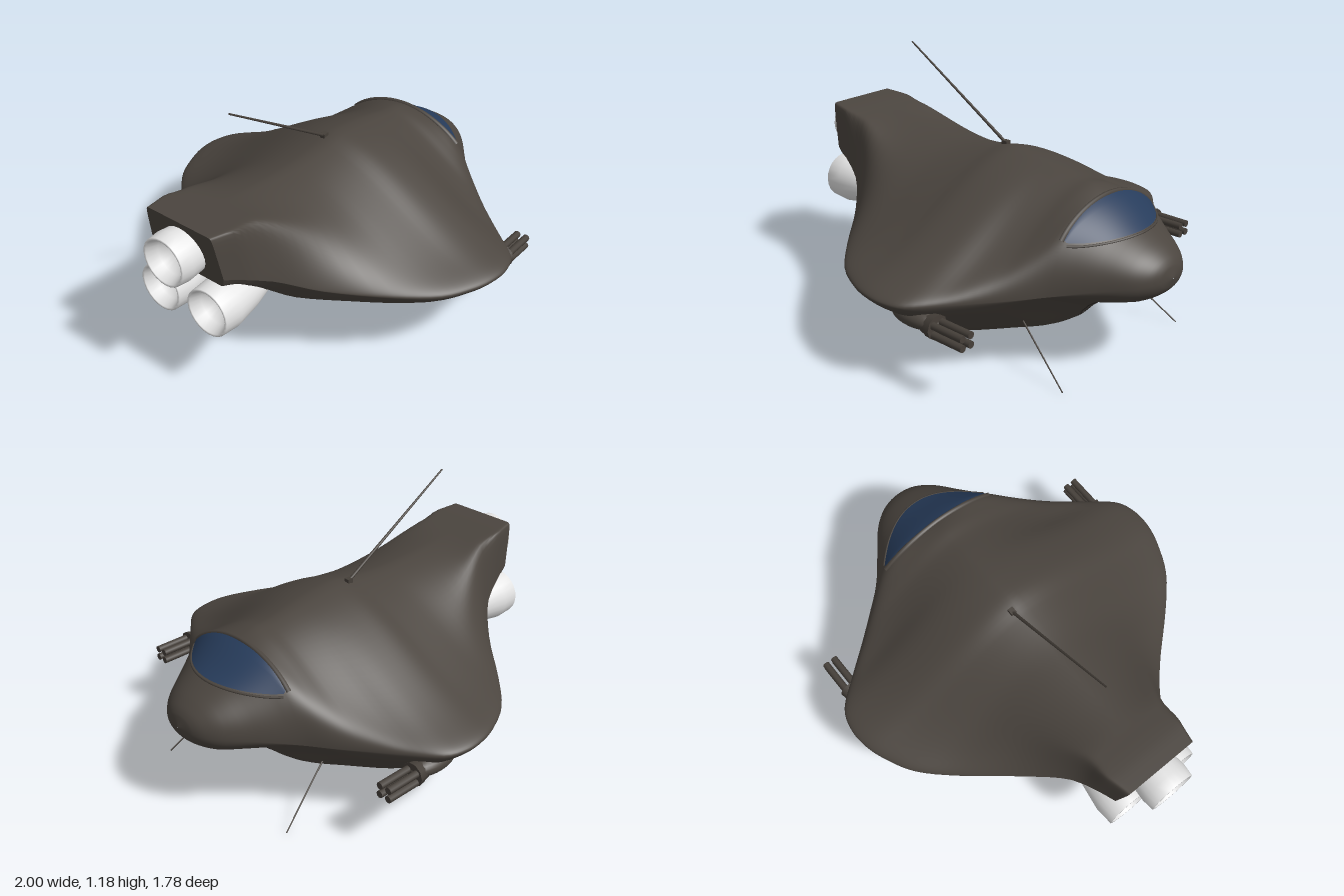
import * as THREE from 'three';

const { clamp, lerp } = THREE.MathUtils;

// Hull stations from tail to nose: x, half width, edge height, top, bottom, body blend
const STATIONS = [
  [-0.905, 0.2, 0.64, 0.855, 0.595, 1], [-0.8, 0.225, 0.6, 0.845, 0.565, 1],
  [-0.66, 0.272, 0.545, 0.822, 0.475, 1], [-0.5, 0.415, 0.465, 0.802, 0.34, 0.8],
  [-0.3, 0.638, 0.42, 0.788, 0.222, 0.4], [-0.15, 0.78, 0.4, 0.786, 0.154, 0.12],
  [0, 0.857, 0.395, 0.8, 0.117, 0], [0.1, 0.885, 0.395, 0.818, 0.1, 0],
  [0.2, 0.887, 0.392, 0.812, 0.086, 0], [0.3, 0.85, 0.39, 0.798, 0.078, 0],
  [0.4, 0.732, 0.39, 0.78, 0.075, 0.05], [0.5, 0.602, 0.39, 0.76, 0.086, 0.3],
  [0.58, 0.5, 0.39, 0.754, 0.16, 0.6], [0.67, 0.387, 0.395, 0.718, 0.235, 1],
  [0.8, 0.278, 0.42, 0.637, 0.293, 1], [0.9, 0.2, 0.435, 0.58, 0.335, 1],
  [0.95, 0.147, 0.44, 0.545, 0.363, 1], [0.985, 0.082, 0.448, 0.505, 0.4, 1],
  [1, 0.002, 0.45, 0.452, 0.448, 1],
];

// Smooth (Hermite) interpolation of the stations
function station(x) {
  const n = STATIONS.length;
  let i = 0;
  while (i < n - 2 && x > STATIONS[i + 1][0]) i++;
  const p = STATIONS[i], q = STATIONS[i + 1], h = q[0] - p[0], t = (x - p[0]) / h;
  const slope = (k, c) => {
    const a = STATIONS[Math.max(k - 1, 0)], b = STATIONS[Math.min(k + 1, n - 1)];
    return (b[c] - a[c]) / (b[0] - a[0]);
  };
  const [w, e, top, bottom, m] = [1, 2, 3, 4, 5].map((c) =>
    (2 * t ** 3 - 3 * t * t + 1) * p[c] + (t ** 3 - 2 * t * t + t) * h * slope(i, c) +
    (3 * t * t - 2 * t ** 3) * q[c] + (t ** 3 - t * t) * h * slope(i + 1, c));
  return { w, e, top, bottom, m: clamp(m, 0, 1) };
}

// Flat up to u = c, then a straight slope to zero at u = 1, with a softened corner
function shoulder(u, c, sharpness) {
  const r = (1 - u) / (1 - c);
  return r / Math.pow(1 + r ** sharpness, 1 / sharpness);
}

// Height of the hull skin: flared wing blended with a boxy tail or a rounded nose
function skinY(x, z, upper) {
  const s = station(x), span = Math.abs((upper ? s.top : s.bottom) - s.e);
  const u = Math.min(Math.abs(z) / s.w, 1);
  const wing = upper
    ? 0.35 * (1 + Math.cos(Math.PI * u)) + 0.3 * (1 - u)
    : shoulder(u, clamp(0.5 - (x - 0.3), 0.2, 0.5), 5) * (1 - 0.1 * u);
  const body = x < 0
    ? shoulder(u, clamp(0.16 - 0.97 * x, 0.35, 0.92), 6)
    : Math.pow(1 - u ** 2.1, 1 / 2.1);
  const m = upper || x < 0 ? s.m : s.m * clamp((x - 0.65) / 0.25, 0, 1);
  // rounded rim along the wing edge
  const rim = (0.038 * (1 - s.m)) / span;
  const f = rim * Math.sqrt(1 - u ** 10) + (1 - rim) * lerp(wing, body, m);
  return s.e + (upper ? span : -span) * f;
}

function gridGeometry(points, cols, wrap, cap) {
  const pos = points.flat(), index = [], rows = points.length / cols;
  for (let i = 0; i < rows - 1; i++) {
    for (let j = 0; j < (wrap ? cols : cols - 1); j++) {
      const k = (j + 1) % cols, a = i * cols + j, b = i * cols + k;
      index.push(a, a + cols, b, b, a + cols, b + cols);
    }
  }
  if (cap) {
    // flat face over the first ring, with its own corners
    const start = pos.length / 3, ring = points.slice(0, cols);
    pos.push(...ring.flat(), -0.882, 0.73, 0);
    for (let j = 0; j < cols; j++) index.push(start + cols, start + j, start + (j + 1) % cols);
  }
  const g = new THREE.BufferGeometry();
  g.setAttribute('position', new THREE.Float32BufferAttribute(pos, 3));
  g.setIndex(index);
  g.computeVertexNormals();
  return g;
}

function hullGeometry() {
  const xs = [], points = [], cols = 128;
  for (let i = 0; i < STATIONS.length - 1; i++) {
    for (let k = 0; k < 4; k++) xs.push(lerp(STATIONS[i][0], STATIONS[i + 1][0], k / 4));
  }
  xs.push(1);
  for (const x of xs) {
    const { w } = station(x);
    for (let j = 0; j < cols; j++) {
      const a = (j / cols) * Math.PI * 2, z = w * Math.cos(a), y = skinY(x, z, Math.sin(a) >= 0);
      // the tail face leans forward toward its lower edge
      const lean = 0.18 * (0.855 - y) * clamp((-0.7 - x) / 0.2, 0, 1);
      points.push([x + lean, y, z]);
    }
  }
  return gridGeometry(points, cols, true, true);
}

export function createModel() {
  const model = new THREE.Group();
  model.name = 'spacecraft';
  const material = (name, color, side = THREE.FrontSide) => {
    const m = new THREE.MeshStandardMaterial({ color, side });
    m.name = name;
    return m;
  };
  const hullPaint = material('hull brown grey', 0x4b453f);
  const gunMetal = material('gun metal', 0x453f39);
  const seam = material('dark seam', 0x2c2825);
  const glass = material('blue glass', 0x273c5b, THREE.DoubleSide);
  const nozzle = material('nozzle white', 0xe4e4e4, THREE.DoubleSide);

  const add = (name, geometry, mat, parent = model) => {
    const mesh = new THREE.Mesh(geometry, mat);
    mesh.name = name;
    parent.add(mesh);
    return mesh;
  };
  // tapered rod between two points
  const rod = (name, from, to, r0, r1, mat, parent) => {
    const a = new THREE.Vector3(...from), b = new THREE.Vector3(...to), d = b.clone().sub(a);
    const mesh = add(name, new THREE.CylinderGeometry(r1, r0, d.length(), 10), mat, parent);
    mesh.position.copy(a).addScaledVector(d, 0.5);
    mesh.quaternion.setFromUnitVectors(new THREE.Vector3(0, 1, 0), d.normalize());
  };
  const tube = (name, pts, r, mat) => add(name, new THREE.TubeGeometry(
    new THREE.CatmullRomCurve3(pts.map((p) => new THREE.Vector3(...p))), 60, r, 6), mat);

  add('hull', hullGeometry(), hullPaint);

  // Windshield laid just above the skin, straight at the back and bowed in front
  const panes = [], acrossN = 40, alongN = 10;
  const backX = (v) => 0.66 + 0.005 * v ** 4;
  const frontX = (v) => 0.675 + 0.165 * (1 - v * v);
  for (let i = 0; i <= alongN; i++) {
    for (let j = 0; j <= acrossN; j++) {
      const v = 1 - (2 * j) / acrossN, z = 0.3 * v;
      const x = lerp(backX(v), frontX(v), i / alongN);
      panes.push([x, skinY(x, z, true) + 0.006, z]);
    }
  }
  add('windshield', gridGeometry(panes, acrossN + 1, false, false), glass);

  // Brow over the windshield and sill under it
  const arc = (xAt, half) => Array.from({ length: 25 }, (_, j) => {
    const v = 1 - j / 12, z = half * v, x = xAt(v);
    return [x, skinY(x, z, true), z];
  });
  tube('windshieldBrow', arc((v) => backX(v) - 0.011, 0.308), 0.012, hullPaint);
  tube('windshieldSill', arc((v) => frontX(v) + 0.004, 0.303), 0.006, hullPaint);

  // Boarding hatch outline on the chin, stepped toward its lower end
  const half = [[0.84, 0.09], [0.62, 0.068], [0.6, 0.05], [0.565, 0.045], [0.56, 0.025], [0.535, 0.022]];
  const outline = [...half, ...half.map(([x, z]) => [x, -z]).reverse()];
  const hatch = new THREE.Group();
  hatch.name = 'hatchOutline';
  model.add(hatch);
  outline.forEach(([x, z], i) => {
    const [x2, z2] = outline[(i + 1) % outline.length];
    const at = (t) => {
      const px = lerp(x, x2, t), pz = lerp(z, z2, t);
      return [px, skinY(px, pz, false), pz];
    };
    for (let k = 0; k < 4; k++) rod('hatchSeam', at(k / 4), at((k + 1) / 4), 0.0025, 0.0025, seam, hatch);
  });

  // Engine nozzles: hollow bells opening to the rear
  const engine = (name, x, y, z, length, r0, r1) => {
    const profile = [[r0, 0], [r0 + (r1 - r0) * 0.65, length * 0.4], [r1, length * 0.75], [r1 * 0.95, length],
      [r1 * 0.85, length], [r1 * 0.7, length - 0.05], [r1 * 0.45, length - 0.1], [0, length - 0.11]];
    const g = new THREE.LatheGeometry(profile.map(([r, h]) => new THREE.Vector2(r, h)), 24);
    add(name, g.rotateZ(Math.PI / 2), nozzle).position.set(x, y, z);
  };
  engine('upperEngine', -0.78, 0.71, 0, 0.22, 0.1, 0.118);
  engine('leftEngine', -0.56, 0.465, -0.135, 0.35, 0.06, 0.118);
  engine('rightEngine', -0.56, 0.465, 0.135, 0.35, 0.06, 0.118);

  // Wing guns and chin aerials
  for (const s of [1, -1]) {
    const gun = new THREE.Group();
    gun.name = s > 0 ? 'frontGun' : 'backGun';
    gun.position.set(0, 0.3, s * 0.762);
    model.add(gun);
    const pod = add('gunPod', new THREE.SphereGeometry(1, 24, 16), hullPaint, gun);
    pod.scale.set(0.13, 0.045, 0.06);
    pod.position.set(0.27, 0.015, 0);
    rod('gunHub', [0.33, 0.005, 0], [0.395, 0.005, 0], 0.042, 0.055, gunMetal, gun);
    for (const dy of [-0.021, 0.021]) {
      for (const dz of [-0.0235, 0.0235]) {
        rod('gunBarrel', [0.36, dy, dz], [0.56, dy, dz], 0.0165, 0.0165, gunMetal, gun);
      }
    }
    rod('chinAerial', [0.49, 0.22, s * 0.345 + 0.01], [0.775, 0.008, s * 0.415 + 0.01], 0.004, 0.003, gunMetal);
    add('aerialFoot', new THREE.SphereGeometry(0.011, 10, 8), gunMetal)
      .position.set(0.49, 0.22, s * 0.345 + 0.01);
  }

  // Long aerial on the back
  rod('mainAerial', [0.05, 0.81, -0.03], [-0.555, 1.183, -0.03], 0.008, 0.004, gunMetal);
  add('mainAerialFoot', new THREE.BoxGeometry(0.03, 0.022, 0.026), gunMetal).position.set(0.05, 0.812, -0.03);
  return model;
}
